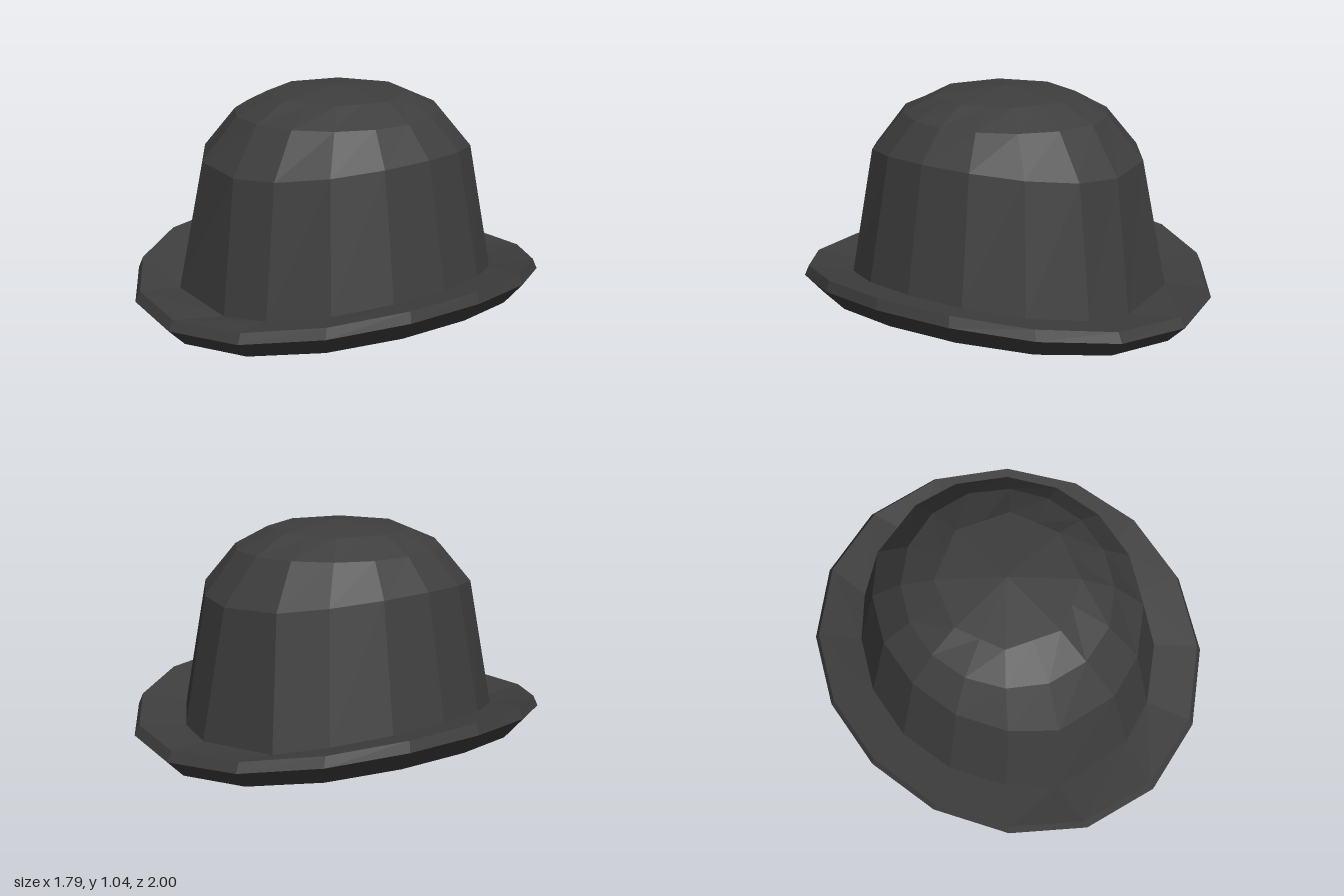
import * as THREE from 'three';

const SEGMENTS = 16;

// One oval ring: half widths along x and z, height at the sides and at the
// front/back (saddle curve), a sideways shift of the front/back corners, and
// whether every second corner is flattened away to leave eight sides.
function ring([rx, rz, ySide, yEnd, shift = 0, eightSided = false]) {
  const points = [];
  for (let i = 0; i < SEGMENTS; i++) {
    const even = (i / SEGMENTS) * Math.PI * 2;
    const t = even + 0.035 * Math.sin(2 * even);
    const c = Math.cos(t);
    let x = rx * Math.sin(t);
    if (i % 8 === 0) x += shift;
    if (i === 9 || i === 15) x -= shift * 0.7;
    points.push(new THREE.Vector3(x, ySide + (yEnd - ySide) * c * c, rz * c));
  }
  if (eightSided) {
    for (let i = 1; i < SEGMENTS; i += 2) {
      points[i].lerpVectors(points[i - 1], points[(i + 1) % SEGMENTS], 0.5);
    }
  }
  return points;
}

// Skin a list of rings; a ring of zero width closes the surface in a point.
function loft(name, profile, material) {
  const rings = profile.map(ring);
  const corners = [];
  for (let k = 0; k < rings.length - 1; k++) {
    for (let i = 0; i < SEGMENTS; i++) {
      const j = (i + 1) % SEGMENTS;
      const a = rings[k][i], b = rings[k][j], c = rings[k + 1][j], d = rings[k + 1][i];
      if (profile[k][0] > 0) corners.push(a, b, c);
      if (profile[k + 1][0] > 0) corners.push(a, c, d);
    }
  }
  const geometry = new THREE.BufferGeometry().setFromPoints(corners);
  geometry.computeVertexNormals();
  const mesh = new THREE.Mesh(geometry, material);
  mesh.name = name;
  return mesh;
}

export function createModel() {
  const group = new THREE.Group();
  group.name = 'bowlerHat';
  const felt = new THREE.MeshStandardMaterial({
    color: 0x3e3e3e, flatShading: true, side: THREE.DoubleSide,
  });

  const headHole = [0.6, 0.71, 0.105, 0.0, 0.1];
  const crownBase = [0.69, 0.75, 0.22, 0.12, 0.07];
  const tubeTop = [0.39, 0.41, 0.86, 0.86];

  // Tube hanging from the ceiling inside the hat
  group.add(loft('innerTube', [
    [0, 0, 0.82, 0.82],
    [0.29, 0.31, 0.82, 0.82],
    [0.29, 0.31, 0.4, 0.4],
    [0.39, 0.41, 0.4, 0.4],
    tubeTop,
  ], felt));

  // Hollow inside: ceiling and steep wall down to the head hole
  group.add(loft('lining', [
    tubeTop,
    [0.45, 0.5, 0.86, 0.86],
    [0.53, 0.6, 0.73, 0.68],
    headHole,
  ], felt));

  // Brim with a thick edge, curled up at the sides
  group.add(loft('brim', [
    headHole,
    [0.81, 0.915, 0.11, 0.015],
    [0.895, 1.0, 0.21, 0.095],
    [0.88, 0.975, 0.26, 0.14],
    crownBase,
  ], felt));

  // Tapered crown wall and rounded top
  group.add(loft('crown', [
    crownBase,
    [0.585, 0.65, 0.79, 0.72, 0.03],
    [0.46, 0.49, 0.93, 0.93],
    [0.32, 0.33, 1.01, 1.01, 0, true],
    [0, 0, 1.045, 1.045],
  ], felt));

  return group;
}
